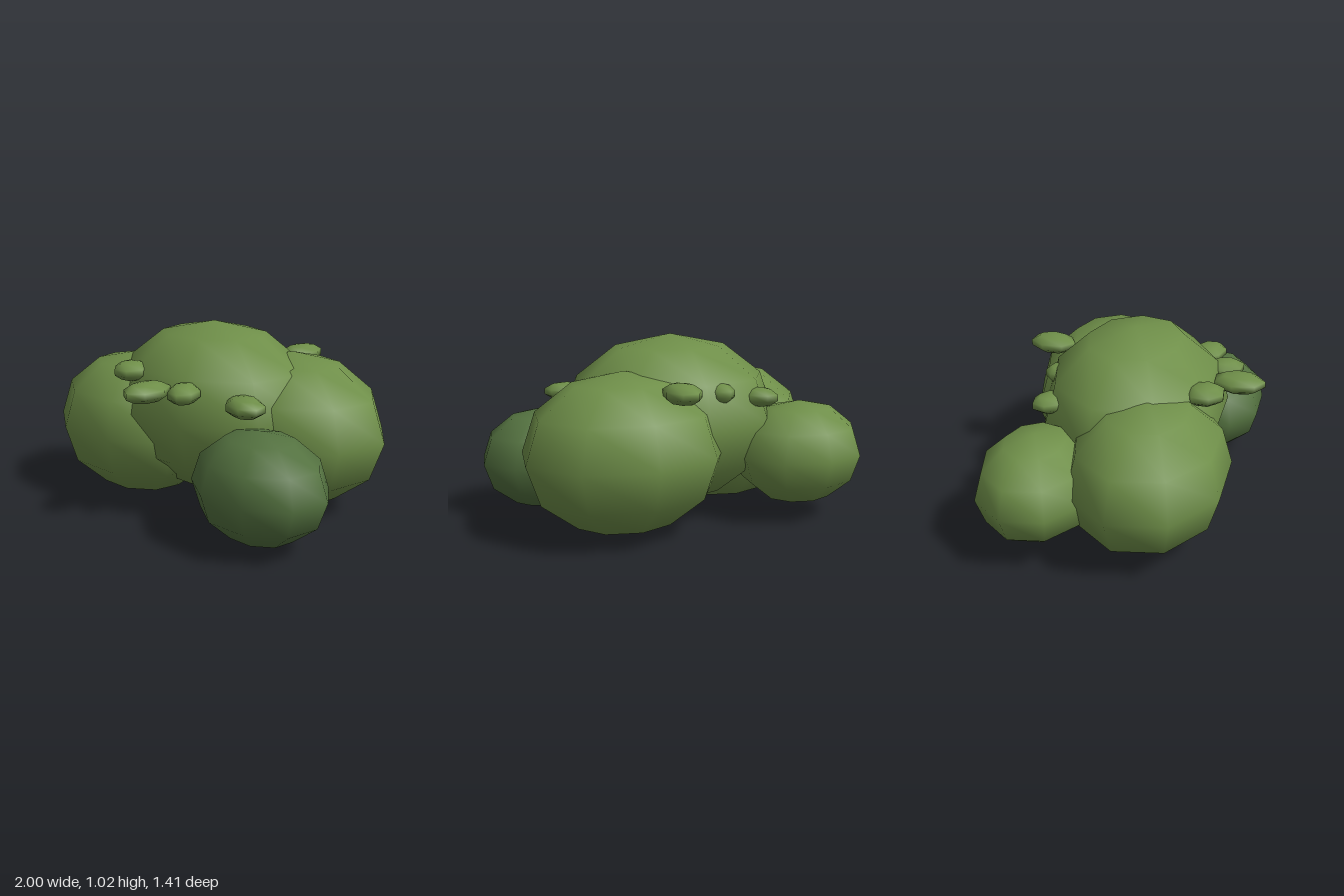
import * as THREE from 'three';

export function createModel() {
  const group = new THREE.Group();
  group.name = 'bush';
  const leafGreen = new THREE.MeshStandardMaterial({ color: 0x6f8f49 });
  leafGreen.name = 'leafGreen';
  const darkGreen = new THREE.MeshStandardMaterial({ color: 0x547240 });
  darkGreen.name = 'darkGreen';

  // Foliage lobes have nine sides with a corner at the back;
  // leaves have seven sides with their tip pointing forward before turning.
  const lobeShape = new THREE.SphereGeometry(1, 9, 6, Math.PI * 1.5);
  const leafShape = new THREE.SphereGeometry(1, 7, 5, Math.PI * 0.5);

  function add(name, shape, material, position, radii, yaw = 0) {
    const mesh = new THREE.Mesh(shape, material);
    mesh.name = name;
    mesh.position.set(...position);
    mesh.scale.set(...radii);
    mesh.rotation.y = yaw;
    group.add(mesh);
  }

  // Five overlapping foliage lobes
  add('centreLobe', lobeShape, leafGreen, [0, 0.555, -0.01], [0.63, 0.47, 0.52]);
  add('frontRightLobe', lobeShape, leafGreen, [-0.42, 0.413, 0.17], [0.54, 0.41, 0.44]);
  add('backLeftLobe', lobeShape, leafGreen, [0.37, 0.44, -0.24], [0.56, 0.428, 0.47]);
  add('frontLeftLobe', lobeShape, darkGreen, [0.628, 0.313, 0.333], [0.376, 0.288, 0.307]);
  add('backRightLobe', lobeShape, leafGreen, [-0.63, 0.37, -0.365], [0.376, 0.29, 0.32]);

  // Small flattened leaves: position, half width, half length, yaw
  const leaves = [
    [[-0.21, 0.782, 0.42], 0.1, 0.112, 0.6],
    [[0.06, 0.735, 0.555], 0.103, 0.15, 0.05],
    [[0.22, 0.735, 0.45], 0.085, 0.118, 0.45],
    [[0.5, 0.688, 0.305], 0.1, 0.135, 1.15],
    [[0.19, 0.785, -0.56], 0.1, 0.143, -0.1],
    [[-0.36, 0.7, -0.375], 0.085, 0.11, -2.4],
    [[-0.1, 0.745, -0.415], 0.075, 0.085, -2.9],
  ];
  leaves.forEach(([position, width, length, yaw], i) =>
    add(`leaf${i + 1}`, leafShape, leafGreen, position, [width, 0.054, length], yaw));

  return group;
}
